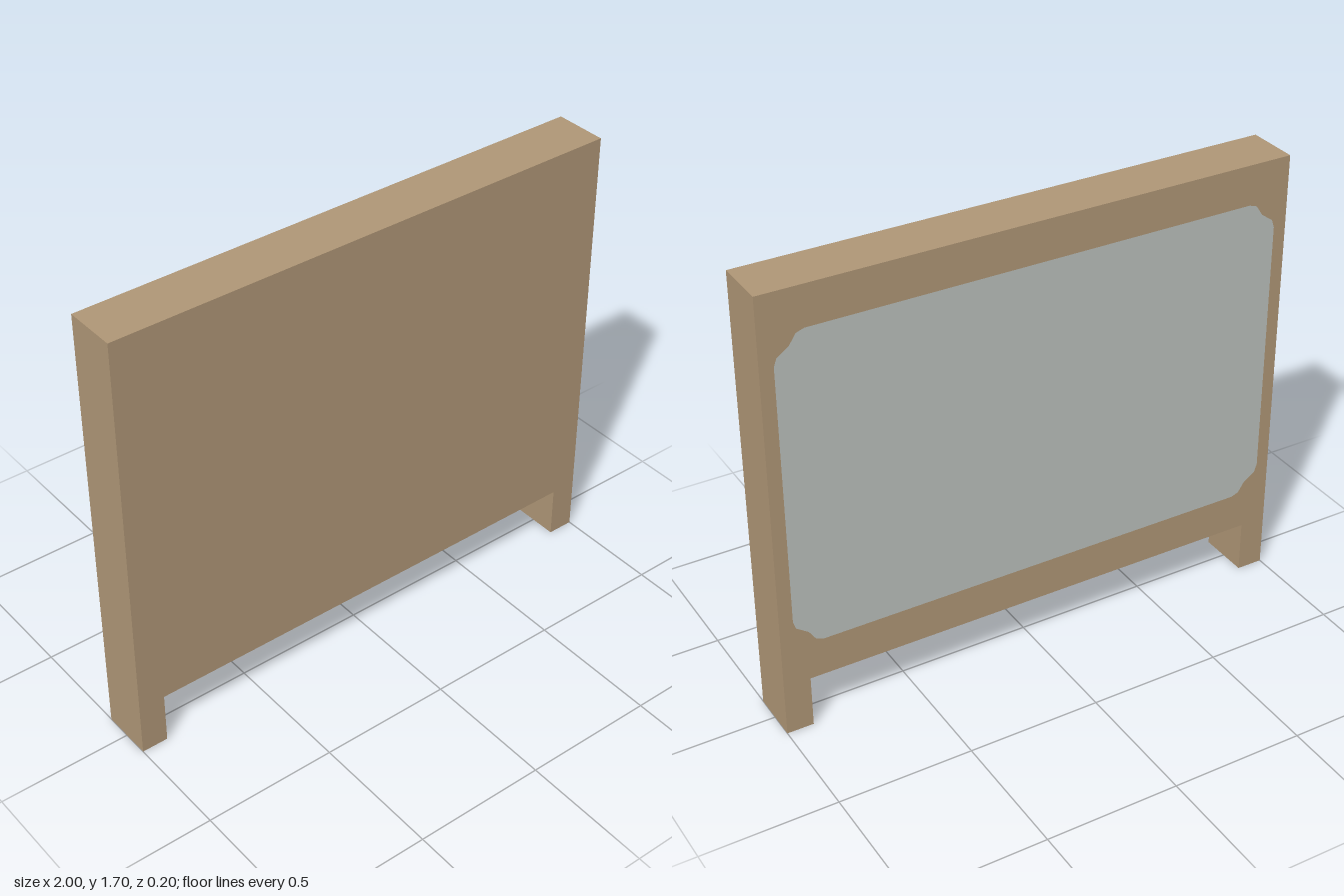
import * as THREE from 'three';

const DEPTH = 0.2;

const shapeOf = (points) => new THREE.Shape(points.map(([x, y]) => new THREE.Vector2(x, y)));

export function createModel() {
  const wood = new THREE.MeshStandardMaterial({ color: 0xaf9676 });
  wood.name = 'wood';
  const paleGrey = new THREE.MeshStandardMaterial({ color: 0xbbc0bc });
  paleGrey.name = 'pale grey';

  const model = new THREE.Group();
  model.name = 'standingBoard';

  // Board with two short feet, cut as one slab
  const board = new THREE.Mesh(
    new THREE.ExtrudeGeometry(
      shapeOf([[-1, 0], [-0.9, 0], [-0.9, 0.2], [0.9, 0.2], [0.9, 0], [1, 0], [1, 1.7], [-1, 1.7]]),
      { depth: DEPTH, bevelEnabled: false }
    ).translate(0, 0, -DEPTH / 2),
    wood
  );
  board.name = 'boardWithFeet';
  model.add(board);

  // Thin panel on the back, with the same stepped corner mirrored four times
  const corner = [[0, 0.11], [0.01, 0.08], [0.055, 0.048], [0.08, 0.01], [0.11, 0]];
  const halfWidth = 0.95, halfHeight = 0.6;
  const outline = [];
  for (const [sx, sy] of [[1, 1], [-1, 1], [-1, -1], [1, -1]]) {
    const steps = corner.map(([dx, dy]) => [sx * (halfWidth - dx), sy * (halfHeight - dy)]);
    outline.push(...(sx * sy > 0 ? steps : steps.reverse()));
  }
  const panel = new THREE.Mesh(new THREE.ShapeGeometry(shapeOf(outline)), paleGrey);
  panel.name = 'backPanel';
  panel.rotation.y = Math.PI;
  panel.position.set(0, 0.95, -DEPTH / 2 - 0.002);
  model.add(panel);

  return model;
}
